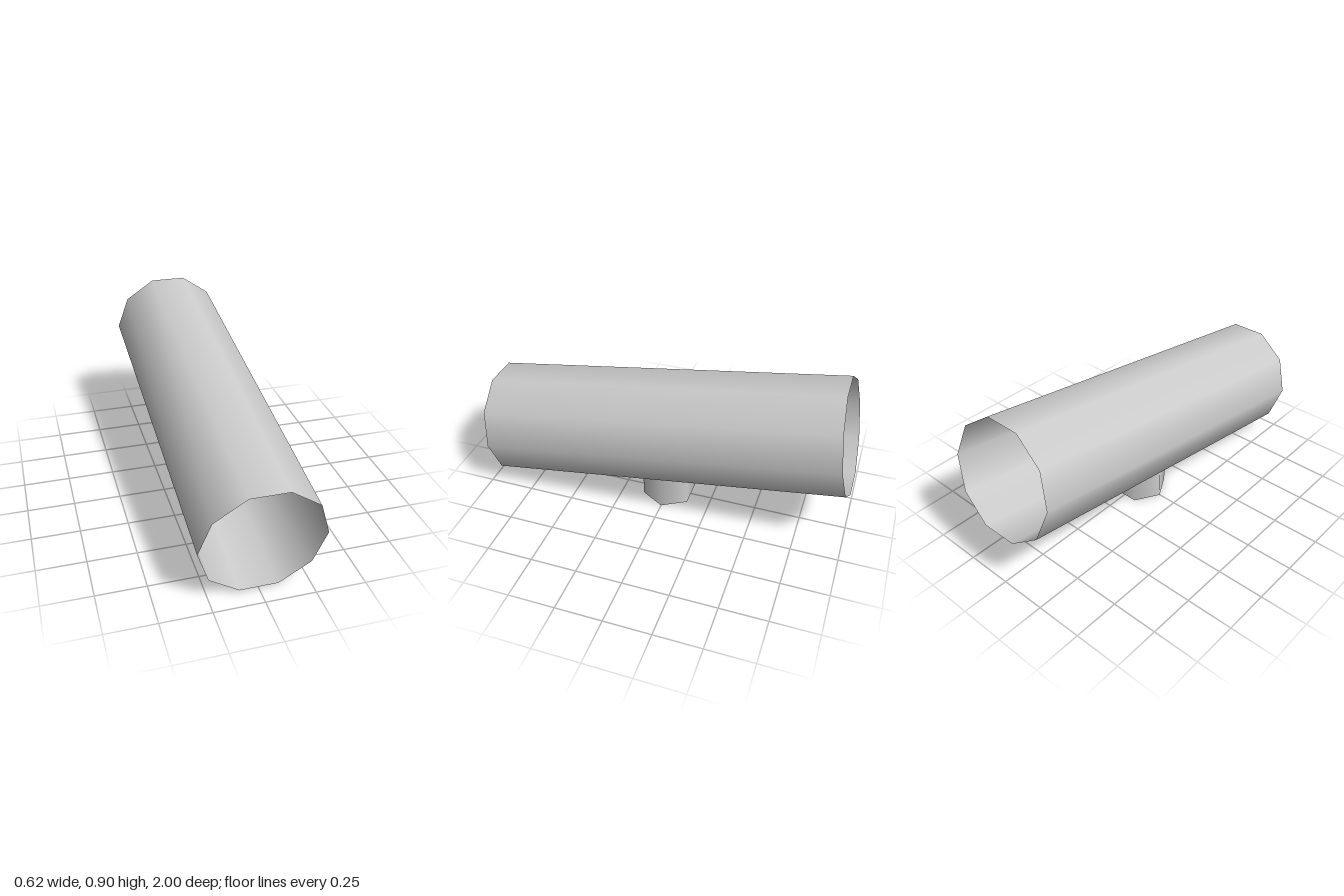
import * as THREE from 'three';

// Open-ended smooth tube with corners on the x axis
function openTube(name, radius, length, sides, material) {
  const geometry = new THREE.CylinderGeometry(radius, radius, length, sides, 1, true, Math.PI / 2);
  const mesh = new THREE.Mesh(geometry, material);
  mesh.name = name;
  return mesh;
}

export function createModel() {
  const group = new THREE.Group();
  group.name = 'tubeOnPost';

  const grey = new THREE.MeshStandardMaterial({ color: 0xcccccc, side: THREE.DoubleSide });
  grey.name = 'light grey';

  // Main barrel, lying along z with its back end raised
  const tilt = Math.atan2(0.304, 1.905);
  const barrel = openTube('barrel', 0.309, 1.929, 10, grey);
  barrel.rotation.x = tilt - Math.PI / 2;
  barrel.position.y = 0.455;
  group.add(barrel);

  // Hexagonal post, reaching up into the barrel
  const postHeight = 0.453;
  const post = openTube('post', 0.148, postHeight, 6, grey);
  post.position.y = postHeight / 2;
  group.add(post);

  return group;
}
